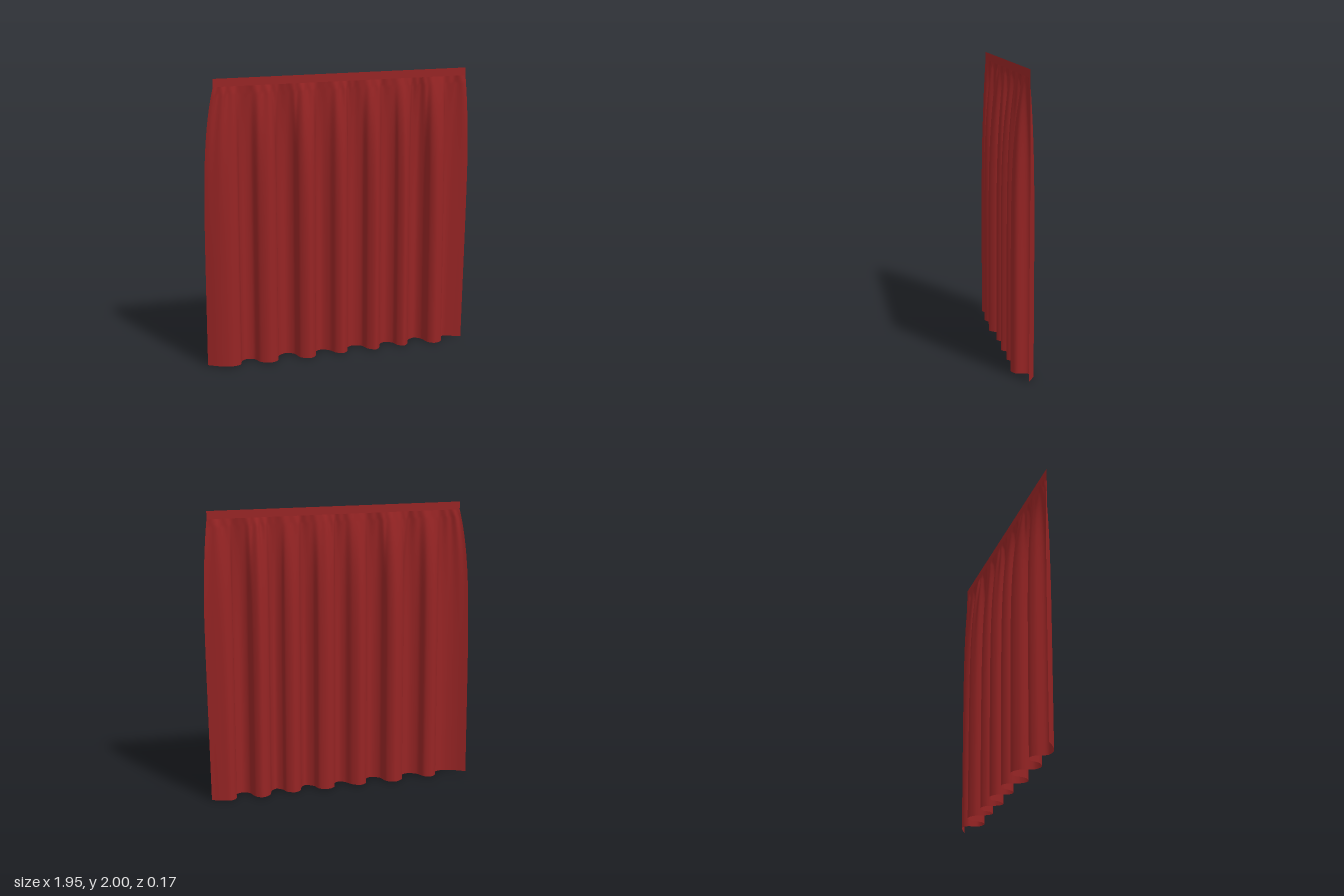
import * as THREE from 'three';

const LEFT = -0.905, RIGHT = 0.94, SEAM = 1.945, HEM = 0.008;

// Fold line at the hem: [x, z] along the cloth
const FOLDS = [
  [-0.975, -0.04], [-0.9, 0.015], [-0.82, 0.045], [-0.76, 0.03], [-0.73, -0.035], [-0.69, -0.063], [-0.64, -0.045],
  [-0.61, 0.03], [-0.55, 0.066], [-0.49, 0.04], [-0.46, -0.045], [-0.39, -0.085], [-0.34, -0.05],
  [-0.32, 0.04], [-0.26, 0.077], [-0.21, 0.04], [-0.18, -0.04], [-0.13, -0.066], [-0.08, -0.03],
  [-0.05, 0.035], [-0.01, 0.06], [0.03, 0.035], [0.06, -0.04], [0.11, -0.067], [0.17, -0.04],
  [0.19, 0.03], [0.24, 0.07], [0.28, 0.035], [0.31, -0.03], [0.36, -0.056], [0.41, -0.02],
  [0.42, 0.03], [0.46, 0.066], [0.5, 0.035], [0.54, -0.045], [0.6, -0.075], [0.64, -0.04],
  [0.66, 0.05], [0.7, 0.08], [0.76, 0.055], [0.78, -0.02], [0.83, -0.05], [0.9, -0.03], [0.975, 0.003],
];

export function createModel() {
  const model = new THREE.Group();
  model.name = 'curtain';
  const cloth = new THREE.MeshStandardMaterial({ color: 0x962424, side: THREE.DoubleSide });
  cloth.name = 'red cloth';

  // Flat heading band along the top
  const band = new THREE.Mesh(new THREE.PlaneGeometry(RIGHT - LEFT, 2 - SEAM), cloth);
  band.name = 'headingBand';
  band.position.set((LEFT + RIGHT) / 2, (2 + SEAM) / 2, 0);
  model.add(band);

  // Draped cloth: a straight gathered seam swelling into deep folds below
  const cols = 360, rows = 60;
  const curve = new THREE.CatmullRomCurve3(FOLDS.map(([x, z]) => new THREE.Vector3(x, 0, z)), false, 'centripetal');
  curve.arcLengthDivisions = 1000;
  const hem = curve.getSpacedPoints(cols);
  const geo = new THREE.PlaneGeometry(1, 1, cols, rows);
  const pos = geo.attributes.position;
  for (let j = 0; j <= rows; j++) {
    const drop = (j / rows) ** 1.8; // rows crowd towards the seam
    const y = SEAM + (HEM - SEAM) * drop;
    const swell = 1 - (1 - drop) ** 6;
    // Small gathers just under the seam that die out lower down
    const gather = 0.009 * Math.min(1, drop / 0.025) * Math.exp(-drop * 5);
    for (let i = 0; i <= cols; i++) {
      const t = i / cols, p = hem[i];
      const pleat = Math.sin(t * 168 + 1.6 * Math.sin(t * 23)) * (0.65 + 0.35 * Math.sin(t * 41));
      // The right-hand edge draws in towards the hem
      const pull = 0.03 * THREE.MathUtils.smoothstep(t, 0.9, 1) * Math.max(0, 1 - y / 1.4);
      pos.setXYZ(
        j * (cols + 1) + i,
        THREE.MathUtils.lerp(LEFT + (RIGHT - LEFT) * t, p.x, swell) - pull,
        y - 0.006 * drop * THREE.MathUtils.smoothstep(t, 0.7, 1),
        p.z * swell + pleat * gather,
      );
    }
  }
  geo.computeVertexNormals();
  const drape = new THREE.Mesh(geo, cloth);
  drape.name = 'drapedCloth';
  model.add(drape);

  return model;
}
